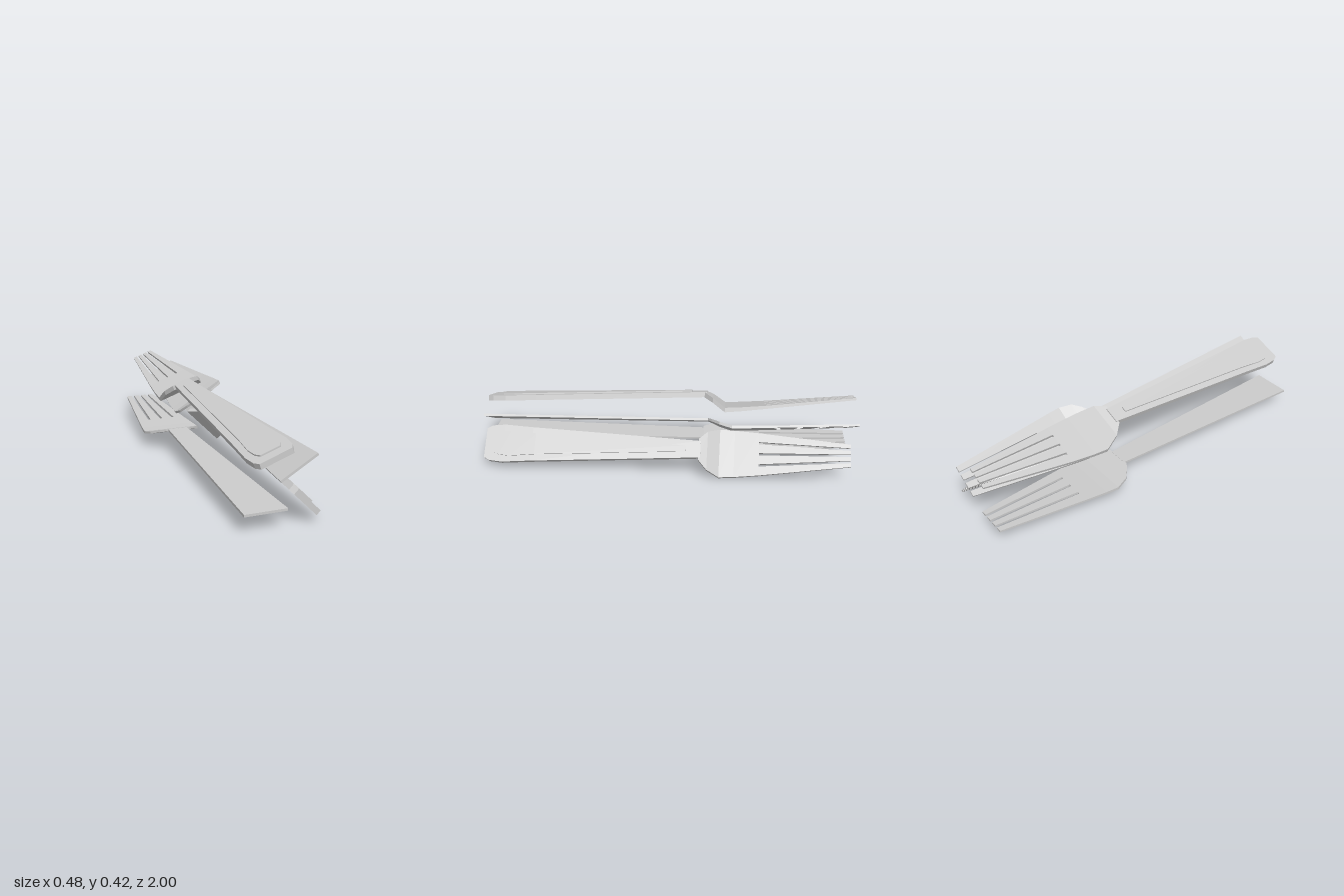
import * as THREE from 'three';

const material = new THREE.MeshStandardMaterial({ color: 0xcccccc, flatShading: true });

// Lofts a rectangular bar through rows of [z, halfWidth, bottom, thickness, centreX], z decreasing.
function bar(name, rows) {
  const rings = rows.map(([z, w, b, t, x = 0]) => [
    [x - w, b, z], [x + w, b, z], [x + w, b + t, z], [x - w, b + t, z],
  ]);
  const positions = [];
  const quad = (a, b, c, d) => positions.push(...a, ...b, ...c, ...a, ...c, ...d);
  for (let r = 0; r < rings.length - 1; r++) {
    for (let i = 0; i < 4; i++) {
      const j = (i + 1) % 4;
      quad(rings[r][i], rings[r + 1][i], rings[r + 1][j], rings[r][j]);
    }
  }
  const [p, q] = [rings[0], rings[rings.length - 1]];
  quad(p[0], p[1], p[2], p[3]);
  quad(q[3], q[2], q[1], q[0]);
  const geometry = new THREE.BufferGeometry();
  geometry.setAttribute('position', new THREE.Float32BufferAttribute(positions, 3));
  geometry.computeVertexNormals();
  const mesh = new THREE.Mesh(geometry, material);
  mesh.name = name;
  return mesh;
}

// Four tapering tines running from the last row of the bowl to the tip row.
function addTines(fork, root, tip, rootGap, tipGap) {
  const place = ([z, w, b, t], gap, i) => {
    const pitch = (2 * w + gap) / 4;
    return [z, (pitch - gap) / 2, b, t, (i - 1.5) * pitch];
  };
  for (let i = 0; i < 4; i++) {
    fork.add(bar('tine', [place(root, rootGap, i), place(tip, tipGap, i)]));
  }
}

// Wide fork with a plain, flaring, square-ended handle.
function plainFork() {
  const fork = new THREE.Group();
  fork.name = 'plainFork';
  const bowl = [
    [-0.205, 0.07, 0.04, 0.012],
    [-0.225, 0.1, 0.034, 0.013],
    [-0.265, 0.143, 0.018, 0.014],
    [-0.33, 0.16, 0, 0.015],
    [-0.4, 0.154, 0.003, 0.014],
    [-0.52, 0.14, 0.011, 0.012],
  ];
  fork.add(bar('handle', [[0.98, 0.105, 0.013, 0.012], [-0.21, 0.055, 0.04, 0.012]]));
  fork.add(bar('bowl', bowl));
  addTines(fork, bowl[bowl.length - 1], [-0.985, 0.085, 0.042, 0.01], 0.014, 0.018);
  return fork;
}

// Narrower fork with a thick, chamfered handle and a raised panel along it.
function panelFork() {
  const fork = new THREE.Group();
  fork.name = 'panelFork';
  const handleBottom = (z) => 0.066 - (z + 0.19) * 0.0505;
  const bowl = [
    [-0.19, 0.058, 0.066, 0.027],
    [-0.235, 0.105, 0.045, 0.025],
    [-0.3, 0.132, 0, 0.024],
    [-0.38, 0.128, 0.008, 0.021],
    [-0.51, 0.116, 0.024, 0.017],
  ];
  const handle = [[0.98, 0.082], [0.95, 0.098], [0.88, 0.105], [0.72, 0.094], [-0.2, 0.045]];
  const panel = [[0.93, 0.05], [0.9, 0.066], [0.84, 0.071], [0.7, 0.058], [-0.12, 0.016]];
  fork.add(bar('handle', handle.map(([z, w]) => [z, w, handleBottom(z), 0.028])));
  fork.add(bar('handlePanel', panel.map(([z, w]) => [z, w, handleBottom(z) + 0.022, 0.013])));
  fork.add(bar('bowl', bowl));
  addTines(fork, bowl[bowl.length - 1], [-0.985, 0.06, 0.083, 0.012], 0.012, 0.013);
  return fork;
}

export function createModel() {
  const model = new THREE.Group();
  model.name = 'forkPile';
  // Each fork: builder, position of the bowl's underside, roll in degrees.
  const forks = [
    [plainFork, -0.08, 0.075, 0.018, 0],
    [plainFork, 0.102, 0.25, -0.015, 31],
    [panelFork, -0.018, 0.308, -0.005, 20],
    [panelFork, 0.106, 0.096, 0.015, -45],
  ];
  for (const [build, x, y, z, roll] of forks) {
    const fork = build();
    fork.position.set(x, y, z);
    fork.rotation.z = THREE.MathUtils.degToRad(roll);
    model.add(fork);
  }
  return model;
}
